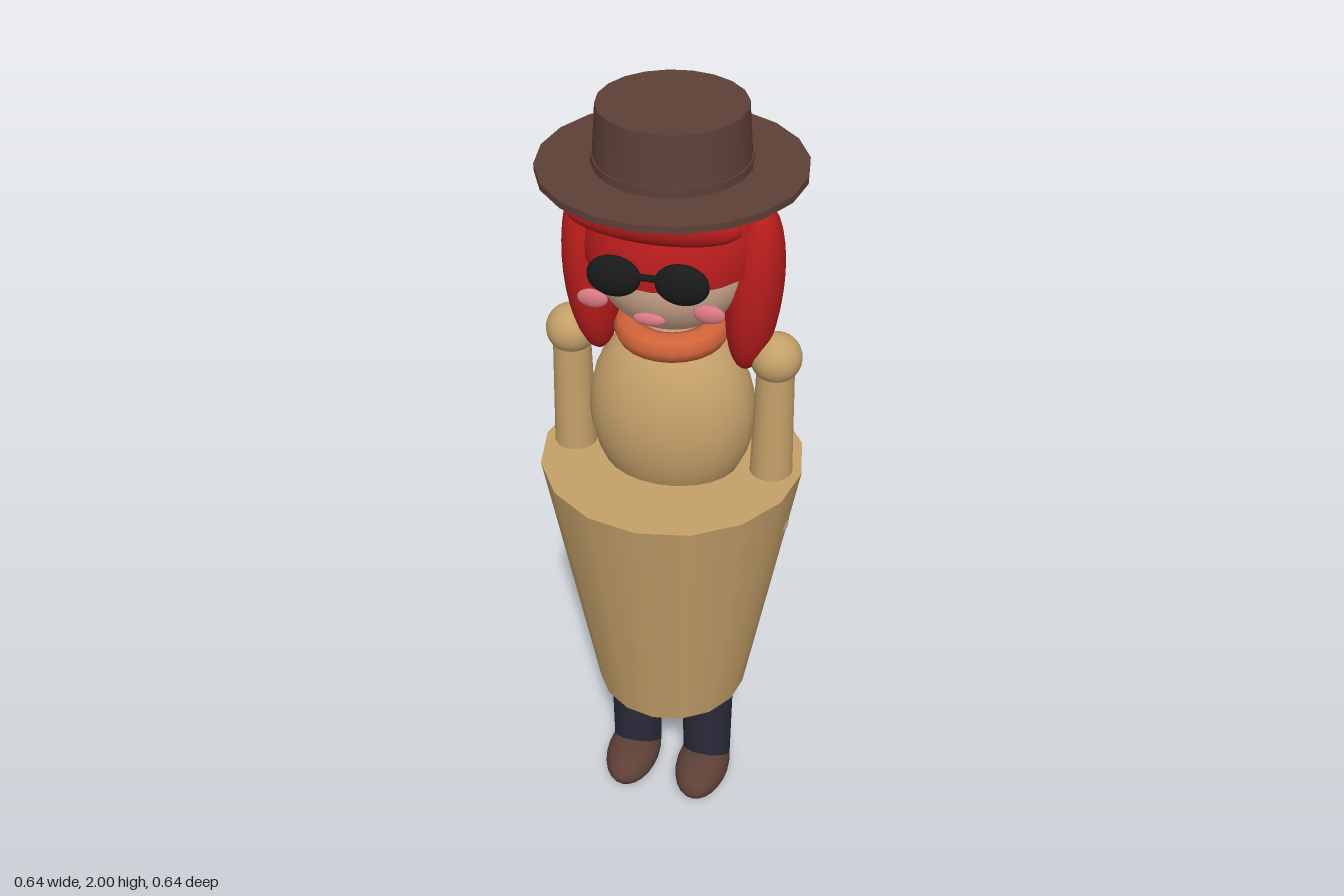
import * as THREE from 'three';

const mat = (name, color) => {
  const m = new THREE.MeshStandardMaterial({ color });
  m.name = name;
  return m;
};

export function createModel() {
  const group = new THREE.Group();
  const tan = mat('tanCloth', 0xc4a069);
  const brown = mat('brownLeather', 0x5d4037);
  const navy = mat('navyTrousers', 0x2a2a3a);
  const red = mat('redHair', 0xb71c1c);
  const skin = mat('skin', 0xd8b094);
  const orange = mat('orangeScarf', 0xd2643a);
  const black = mat('blackLens', 0x1a1a1a);
  const pink = mat('pink', 0xd87884);
  red.side = THREE.DoubleSide;

  const add = (name, geometry, material, x, y, z) => {
    const mesh = new THREE.Mesh(geometry, material);
    mesh.name = name;
    mesh.position.set(x, y, z);
    group.add(mesh);
    return mesh;
  };
  const ball = (name, material, [x, y, z], [rx, ry, rz]) =>
    add(name, new THREE.SphereGeometry(1, 24, 16).scale(rx, ry, rz), material, x, y, z);
  // Tapered cylinder standing between two heights
  const post = (name, material, x, y0, y1, rBottom, rTop, sides = 16) =>
    add(name, new THREE.CylinderGeometry(rTop, rBottom, y1 - y0, sides), material, x, (y0 + y1) / 2, 0);

  // Body and coat skirt
  post('skirt', tan, 0, 0.365, 1.09, 0.195, 0.32);
  ball('torso', tan, [0, 1.23, 0], [0.2, 0.25, 0.158]);
  post('neck', skin, 0, 1.4, 1.52, 0.07, 0.07);
  const scarf = add('scarf', new THREE.TorusGeometry(0.1, 0.035, 8, 24), orange, 0, 1.457, 0);
  scarf.rotation.x = Math.PI / 2;

  // Head and face
  ball('head', skin, [0, 1.66, 0], [0.187, 0.19, 0.172]);
  ball('lips', pink, [0, 1.583, 0.19], [0.036, 0.015, 0.01]);
  const bridge = add('glassesBridge', new THREE.CylinderGeometry(0.008, 0.008, 0.06, 8), black, 0, 1.69, 0.2);
  bridge.rotation.z = Math.PI / 2;

  // Hair: open cap, rolled fringe and back fall
  add('hairCap', new THREE.SphereGeometry(0.202, 24, 12, 0, Math.PI * 2, 0, Math.PI * 0.52), red, 0, 1.66, -0.015);
  ball('fringe', red, [0, 1.8, 0.155], [0.19, 0.05, 0.04]);
  ball('backHair', red, [0, 1.52, -0.12], [0.195, 0.19, 0.1]);

  // Mirrored parts
  for (const s of [1, -1]) {
    const side = s > 0 ? 'left' : 'right';
    post(side + 'Leg', navy, s * 0.1, 0.07, 0.4, 0.066, 0.07);
    ball(side + 'Shoe', brown, [s * 0.1, 0.06, 0.045], [0.072, 0.057, 0.126]);
    ball(side + 'Shoulder', tan, [s * 0.245, 1.408, 0], [0.06, 0.06, 0.06]);
    post(side + 'Arm', tan, s * 0.245, 0.97, 1.41, 0.055, 0.044);
    ball(side + 'Hand', skin, [s * 0.245, 0.935, 0], [0.05, 0.05, 0.05]);
    ball(side + 'Lens', black, [s * 0.075, 1.685, 0.2], [0.06, 0.048, 0.025]);
    ball(side + 'Cheek', pink, [s * 0.13, 1.61, 0.18], [0.035, 0.022, 0.012]);
    const lock = ball(side + 'HairLock', red, [s * 0.19, 1.58, 0], [0.063, 0.21, 0.08]);
    lock.rotation.z = -s * 0.08;
  }

  // Hat
  post('hatBrim', brown, 0, 1.85, 1.866, 0.296, 0.296, 20);
  post('hatBand', brown, 0, 1.866, 1.885, 0.175, 0.175, 20);
  post('hatCrown', brown, 0, 1.866, 2, 0.173, 0.163, 20);

  return group;
}
